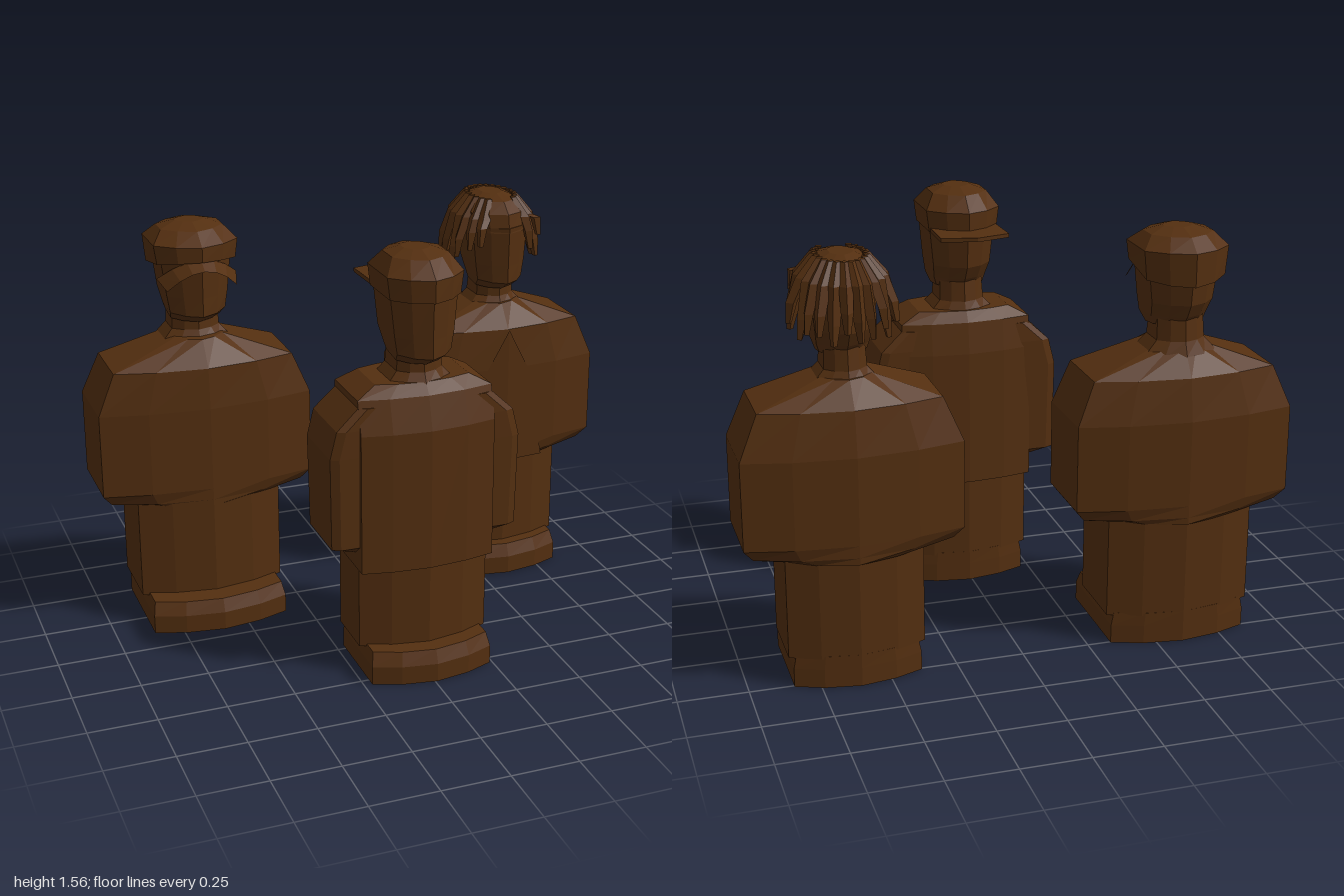
import * as THREE from 'three';

const brown = new THREE.MeshStandardMaterial({ color: 0x542f10, flatShading: true, side: THREE.DoubleSide });

// ten-sided body section: half width w, front f, back b, corner setback s, tilt raises the front
function section(y, w, f, b, s = 0.06, tilt = 0, k = 0.56) {
  const half = [[0, f], [w * k, f - s * 0.35], [w, f - s], [w, b + s], [w * k, b + s * 0.35], [0, b]];
  const all = half.concat(half.slice(1, 5).reverse().map(([x, z]) => [-x, z]));
  return all.map(([x, z]) => [x, y + tilt * (z - b) / (f - b), z]);
}

// skin over a stack of rings from bottom to top, closed at both ends
function loft(name, rings) {
  const pos = rings.flat(2), idx = [], n = rings[0].length, top = (rings.length - 1) * n;
  for (let r = 0; r < rings.length - 1; r++) {
    for (let i = 0; i < n; i++) {
      const a = r * n + i, b = r * n + (i + 1) % n;
      idx.push(a, b, b + n, a, b + n, a + n);
    }
  }
  for (let i = 1; i < n - 1; i++) idx.push(0, i + 1, i, top, top + i, top + i + 1);
  return surface(name, pos, idx);
}

function surface(name, pos, idx) {
  const g = new THREE.BufferGeometry();
  g.setAttribute('position', new THREE.Float32BufferAttribute(pos, 3));
  g.setIndex(idx);
  const flat = g.toNonIndexed();
  flat.computeVertexNormals();
  const mesh = new THREE.Mesh(flat, brown);
  mesh.name = name;
  return mesh;
}

const stack = (name, rows) => loft(name, rows.map(r => section(...r)));

// legs block and the feet block that reaches forward under it
function lowerBody(group, w, f, b, toe, top) {
  group.add(
    stack('legs', [[0.11, w, f, b, 0.07], [top, w, f, b, 0.07]]),
    stack('feet', [[0, w - 0.015, toe, b, 0.06], [0.07, w - 0.015, toe, b, 0.06], [0.12, w - 0.025, toe - 0.02, b, 0.06]])
  );
}

// wide upper body with short sleeves hanging beside the waist
function wideTorso(w, shoulder, f, b) {
  return stack('torsoAndSleeves', [
    [0.47, 0.25, f, b, 0.1],
    [0.495, w - 0.035, f, b, 0.085],
    [0.54, w, f, b],
    [0.86, w, f, b],
    [shoulder[1], shoulder[0], f - 0.01, b + 0.025],
    [1.107, 0.09, f - 0.075, b + 0.09]
  ]);
}

function neckAndHead(group, w, f, b, top) {
  group.add(
    stack('neck', [[1.08, w + 0.005, f - 0.05, b + 0.03, 0.06], [1.13, w - 0.04, f - 0.075, b + 0.05, 0.05], [1.23, w - 0.045, f - 0.08, b + 0.06, 0.05]]),
    stack('head', [
      [1.19, w * 0.72, f - 0.06, b + 0.07, 0.06, -0.025],
      [1.22, w * 0.8, f, b + 0.045, 0.08, -0.02],
      [1.27, w * 0.88, f, b + 0.015, 0.08],
      [top, w, f + 0.005, b, 0.09]
    ])
  );
}

function cap(w, f, b, y0, y1, top, tilt) {
  return stack('cap', [
    [y0, w - 0.01, f, b, 0.09, tilt],
    [y1, w, f, b, 0.09],
    [top - 0.02, w * 0.74, f - 0.06, b + 0.055, 0.08],
    [top, w * 0.35, f - 0.13, b + 0.13, 0.04]
  ]);
}

// figure with a forward cap
function forwardCapFigure() {
  const g = new THREE.Group();
  g.name = 'forwardCapFigure';
  lowerBody(g, 0.275, 0.21, -0.195, 0.315, 0.52);
  g.add(wideTorso(0.405, [0.34, 1.015], 0.21, -0.205));
  neckAndHead(g, 0.13, 0.16, -0.165, 1.4);
  g.add(cap(0.157, 0.175, -0.185, 1.345, 1.465, 1.53, 0.065));
  // arched visor
  const pos = [], idx = [];
  for (let i = 0; i <= 6; i++) {
    const t = i / 3 - 1, y = 1.415 - 0.075 * t * t;
    pos.push(t * 0.15, y, 0.15 - 0.07 * t * t, t * 0.13, y - 0.03, 0.205 - 0.05 * t * t);
    if (i < 6) idx.push(2 * i, 2 * i + 1, 2 * i + 3, 2 * i, 2 * i + 3, 2 * i + 2);
  }
  g.add(surface('visor', pos, idx));
  g.position.set(-0.597, 0, -0.37);
  return g;
}

// slimmer figure with a backward cap and separate arms
function backwardCapFigure() {
  const g = new THREE.Group();
  g.name = 'backwardCapFigure';
  lowerBody(g, 0.245, 0.17, -0.175, 0.255, 0.45);
  g.add(stack('shirt', [
    [0.42, 0.25, 0.18, -0.185, 0.035],
    [0.94, 0.25, 0.175, -0.18, 0.035],
    [1.06, 0.25, 0.14, -0.165, 0.035],
    [1.1, 0.175, 0.11, -0.14, 0.035]
  ]));
  for (const side of [-1, 1]) {
    const rows = [[0.475, 0.09, 0.07], [0.515, 0.17, 0.12], [0.86, 0.175, 0.125], [0.96, 0.15, 0.125], [1.035, 0.07, 0.12]];
    const arm = loft(side > 0 ? 'leftArm' : 'rightArm', rows.map(([y, x, d]) => {
      const o = 0.18 + x, ring = [[0.18, d + 0.015], [o - 0.03, d + 0.015], [o, d], [o, -d], [o - 0.03, -d - 0.015], [0.18, -d - 0.015]];
      return (side > 0 ? ring : ring.reverse()).map(([px, pz]) => [side * px, y, pz - 0.01]);
    }));
    g.add(arm);
  }
  neckAndHead(g, 0.125, 0.172, -0.17, 1.42);
  g.add(cap(0.14, 0.19, -0.185, 1.405, 1.485, 1.56, 0));
  // flat visor at the back
  const s = new THREE.Shape([[-0.125, 0.03], [0.125, 0.03], [0.13, 0.26], [0, 0.295], [-0.13, 0.26]].map(p => new THREE.Vector2(...p)));
  const visor = new THREE.Mesh(new THREE.ExtrudeGeometry(s, { depth: 0.015, bevelEnabled: false }), brown);
  visor.name = 'visor';
  visor.rotation.x = -Math.PI / 2;
  visor.position.y = 1.405;
  g.add(visor);
  g.position.set(0.01, 0, 0.34);
  return g;
}

// figure with an open jacket and hanging locks of hair
function locksFigure() {
  const g = new THREE.Group();
  g.name = 'locksFigure';
  lowerBody(g, 0.245, 0.19, -0.195, 0.255, 0.52);
  g.add(wideTorso(0.388, [0.32, 1.02], 0.2, -0.21));
  // shirt showing between the jacket edges
  const pos = [[0, 1.02], [-0.085, 0.86], [0.085, 0.86], [-0.16, 0.475], [0, 0.475], [0.16, 0.475], [0, 0.86]]
    .flatMap(([x, y]) => [x, y, 0.204 - 0.1 * Math.abs(x)]);
  g.add(surface('shirtFront', pos, [0, 1, 6, 0, 6, 2, 1, 3, 4, 1, 4, 6, 6, 4, 5, 6, 5, 2]));
  neckAndHead(g, 0.115, 0.175, -0.15, 1.42);
  g.add(stack('crown', [
    [1.4, 0.118, 0.18, -0.165, 0.09],
    [1.47, 0.115, 0.165, -0.165, 0.09],
    [1.51, 0.085, 0.12, -0.14, 0.07],
    [1.528, 0.04, 0.05, -0.08, 0.04]
  ]));
  // locks fan out from the crown and taper downward
  const locks = new THREE.Group();
  locks.name = 'hairLocks';
  const count = 24;
  for (let i = 0; i < count; i++) {
    const a = (i + 0.5) / count * Math.PI * 2, front = Math.cos(a);
    if (front > 0.9) continue;
    const wob = Math.sin(i * 2.4), tip = (front > 0.6 ? 1.35 : 1.275) + 0.025 * wob;
    const ring = (rx, rz, y, h) => {
      const cx = Math.sin(a) * rx, cz = Math.cos(a) * rz - 0.01;
      return [0, 1, 2, 3].map(j => {
        const t = a + j * Math.PI / 2;
        return [cx + Math.sin(t) * h, y, cz + Math.cos(t) * h];
      });
    };
    const grow = 1 + 0.05 * wob;
    locks.add(loft('lock', [
      ring(0.178 * grow, 0.205 * grow, tip, 0.011),
      ring(0.166 * grow, 0.195 * grow, tip + 0.07, 0.021),
      ring(0.135, 0.17, 1.45, 0.024),
      ring(0.085, 0.125, 1.52, 0.014)
    ]));
  }
  g.add(locks);
  g.position.set(0.611, 0, -0.372);
  return g;
}

export function createModel() {
  const model = new THREE.Group();
  model.name = 'threeFigures';
  model.add(forwardCapFigure(), backwardCapFigure(), locksFigure());
  return model;
}
